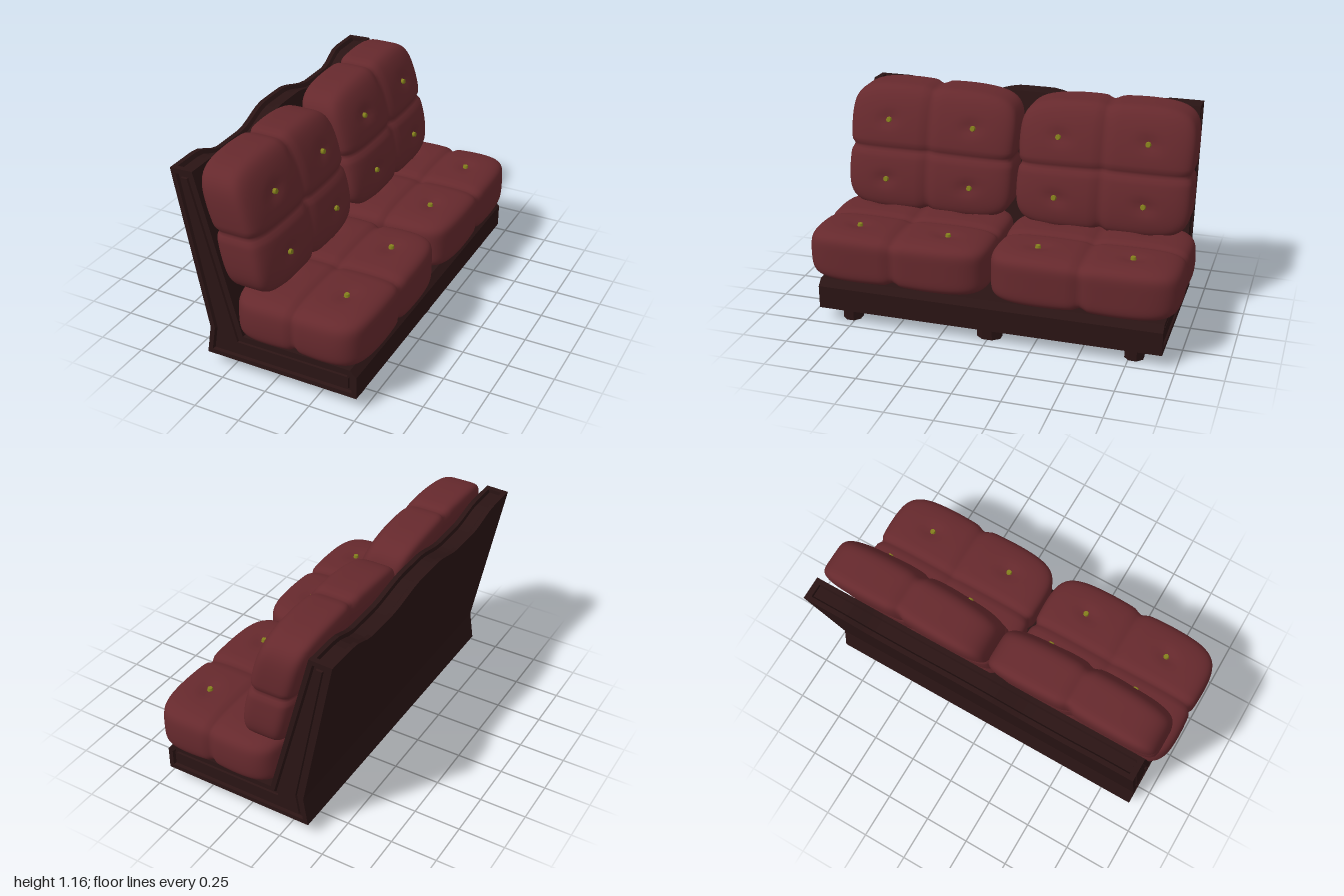
import * as THREE from 'three';
import { mergeVertices } from 'three/addons/utils/BufferGeometryUtils.js';

const wood = new THREE.MeshStandardMaterial({ color: 0x2a1414, flatShading: true });
const leather = new THREE.MeshStandardMaterial({ color: 0x66292d });
const brass = new THREE.MeshStandardMaterial({ color: 0x85801c });

const END = 0.93; // half length of the frame
const OUTER_KINK = [-0.35, 0.235], INNER_KINK = [-0.16, 0.235];
const BASE = [[-0.375, 0.075], [0.475, 0.075], [0.475, 0.2], [0.44, 0.235], INNER_KINK];
const OUTER_TOP = [-0.52, 1.105], INNER_TOP = [-0.395, 1.11];

const lerp2 = (a, b, t) => [a[0] + (b[0] - a[0]) * t, a[1] + (b[1] - a[1]) * t];

function add(parent, name, geometry, material) {
  const mesh = new THREE.Mesh(geometry, material);
  mesh.name = name;
  parent.add(mesh);
  return mesh;
}

// Flat faces between successive rings of [x, y, z] points
function loft(rings) {
  const out = [];
  for (let i = 0; i + 1 < rings.length; i++) {
    const n = rings[i].length;
    for (let j = 0; j < n; j++) {
      const k = (j + 1) % n;
      const a = rings[i][j], b = rings[i][k], c = rings[i + 1][k], d = rings[i + 1][j];
      out.push(...a, ...b, ...c, ...a, ...c, ...d);
    }
  }
  return out;
}

function geometryFrom(positions) {
  const g = new THREE.BufferGeometry();
  g.setAttribute('position', new THREE.Float32BufferAttribute(positions, 3));
  g.computeVertexNormals();
  return g;
}

// Wavy top rail: full height at the ends and the middle, lower behind each cushion
function railDip(z) {
  const s = Math.abs(z);
  return 0.06 * THREE.MathUtils.smoothstep(s, 0.08, 0.36) * (1 - THREE.MathUtils.smoothstep(s, 0.54, 0.74));
}

// L-shaped section with a groove along the top rail
function frameRing(z, groove) {
  const t = 1 - railDip(z) / 0.87;
  const o = lerp2(OUTER_KINK, OUTER_TOP, t), i = lerp2(INNER_KINK, INNER_TOP, t);
  const g = [[0.2, 0], [0.26, 1], [0.74, 1], [0.8, 0]].map(([u, d]) => {
    const p = lerp2(i, o, u);
    return [p[0] + 0.004 * d, p[1] - groove * d];
  });
  return [...BASE, i, ...g, o, OUTER_KINK].map(([x, y]) => [x, y, z]);
}

function frameBody() {
  const rings = [frameRing(-END, 0), frameRing(-0.9, 0)];
  for (let i = 0; i <= 36; i++) rings.push(frameRing(-0.899 + (1.798 * i) / 36, 0.02));
  rings.push(frameRing(0.9, 0), frameRing(END, 0));
  return geometryFrom(loft(rings));
}

// Outline moved inwards by d, with mitred corners
function inset(points, d) {
  const n = points.length;
  return points.map((p, i) => {
    const a = points[(i + n - 1) % n], b = points[(i + 1) % n];
    const u = new THREE.Vector2(p[0] - a[0], p[1] - a[1]).normalize();
    const v = new THREE.Vector2(b[0] - p[0], b[1] - p[1]).normalize();
    const k = d / (1 + u.dot(v));
    return [p[0] - (u.y + v.y) * k, p[1] + (u.x + v.x) * k];
  });
}

// Moulded end face: border, recessed groove and raised panel
function frameEnd() {
  const outline = [...BASE, INNER_TOP, OUTER_TOP, OUTER_KINK];
  const rings = [[0, 0], [0.025, 0], [0.032, 0.014], [0.044, 0.014], [0.048, 0.005]].map(
    ([d, depth]) => inset(outline, d).map(([x, y]) => [x, y, END - depth]));
  const positions = loft(rings);
  const last = rings[rings.length - 1];
  const tris = THREE.ShapeUtils.triangulateShape(last.map(([x, y]) => new THREE.Vector2(x, y)), []);
  for (const t of tris) for (const i of t) positions.push(...last[i]);
  return geometryFrom(positions);
}

// Quilted cushion: rounded block with two crossing seams and button dimples.
// face = axis the buttons sit on, seam = the seam axis besides z, half = half sizes
function cushion({ face, seam, half, place }) {
  let g = new THREE.BoxGeometry(2, 2, 2, 30, 30, 30);
  g.deleteAttribute('normal');
  g.deleteAttribute('uv');
  g = mergeVertices(g);
  const pos = g.attributes.position, K = 6;
  for (let i = 0; i < pos.count; i++) {
    const raw = [pos.getX(i), pos.getY(i), pos.getZ(i)].map(c => Math.sign(c) * Math.abs(c) ** 1.2);
    const norm = raw.reduce((s, c) => s + Math.abs(c) ** K, 0) ** (1 / K);
    const p = raw.map(c => c / norm * Math.max(...raw.map(Math.abs)));
    const q = [...p];
    for (const axis of [seam, 2]) {
      const pinch = 0.016 * Math.exp(-((p[axis] / 0.06) ** 2)) + 0.006 * Math.exp(-((p[axis] / 0.25) ** 2));
      for (let k = 0; k < 3; k++) if (k !== axis) q[k] *= 1 - pinch / half[k];
    }
    if (p[face] > 0.5) {
      const r2 = (Math.abs(p[seam]) - 0.48) ** 2 + (Math.abs(p[2]) - 0.5) ** 2;
      q[face] -= 0.11 * Math.exp(-r2 / 0.012);
    }
    pos.setXYZ(i, ...place(q));
  }
  g.computeVertexNormals();
  return g;
}

const seat = {
  face: 1, seam: 0, half: [0.36, 0.145, 0.5],
  place: ([a, b, c]) => [
    0.157 + a * 0.36 - 0.01 * c * c * Math.max(a, 0),
    0.383 + b * 0.145 - 0.012 * Math.max(b, 0) * Math.max(-a, 0),
    0.502 + c * 0.498 - 0.02 * Math.max(c, 0) * b * b,
  ],
};

const back = {
  face: 0, seam: 1, half: [0.14, 0.33, 0.475],
  place: ([a, b, c]) => {
    const v = (b + 1) / 2;
    const rear = -0.235 - 0.165 * v, front = 0.035 - 0.03 * v - 0.13 * v * v - 0.02 * c * c;
    const top = 1.162 - 0.022 * (c - 0.2) ** 2;
    return [rear + (front - rear) * (a + 1) / 2, 0.49 + v * (top - 0.49), 0.483 + c * 0.475];
  },
};

function button(parent, name, position, tilt) {
  const b = add(parent, name, new THREE.CylinderGeometry(0.013, 0.018, 0.022, 8), brass);
  b.position.set(...position);
  b.rotation.z = tilt;
}

function foot(parent, name, x, z, stretch = 1) {
  const f = add(parent, name, new THREE.CylinderGeometry(0.053, 0.053, 0.08, 8).rotateY(Math.PI / 8), wood);
  f.position.set(x, 0.04, z);
  f.scale.z = stretch;
}

export function createModel() {
  const sofa = new THREE.Group();
  sofa.name = 'sofa';
  add(sofa, 'frame', frameBody(), wood);
  const endGeometry = frameEnd(), seatGeometry = cushion(seat), backGeometry = cushion(back);

  for (const side of [1, -1]) {
    const half = new THREE.Group();
    half.name = side > 0 ? 'leftHalf' : 'rightHalf';
    half.scale.z = side;
    sofa.add(half);
    add(half, 'frameEnd', endGeometry, wood);
    add(half, 'seatCushion', seatGeometry, leather);
    add(half, 'backCushion', backGeometry, leather);
    for (const c of [-0.52, 0.49]) {
      button(half, 'seatButton', seat.place([0.47, 0.93, c]), 0);
      for (const b of [-0.48, 0.47]) button(half, 'backButton', back.place([0.93, b, c]), -Math.PI / 2 + 0.2);
    }
    for (const x of [-0.28, 0.385]) foot(half, 'foot', x, 0.775);
  }
  for (const x of [-0.28, 0.385]) foot(sofa, 'middleFoot', x, 0, 1.3);
  return sofa;
}
